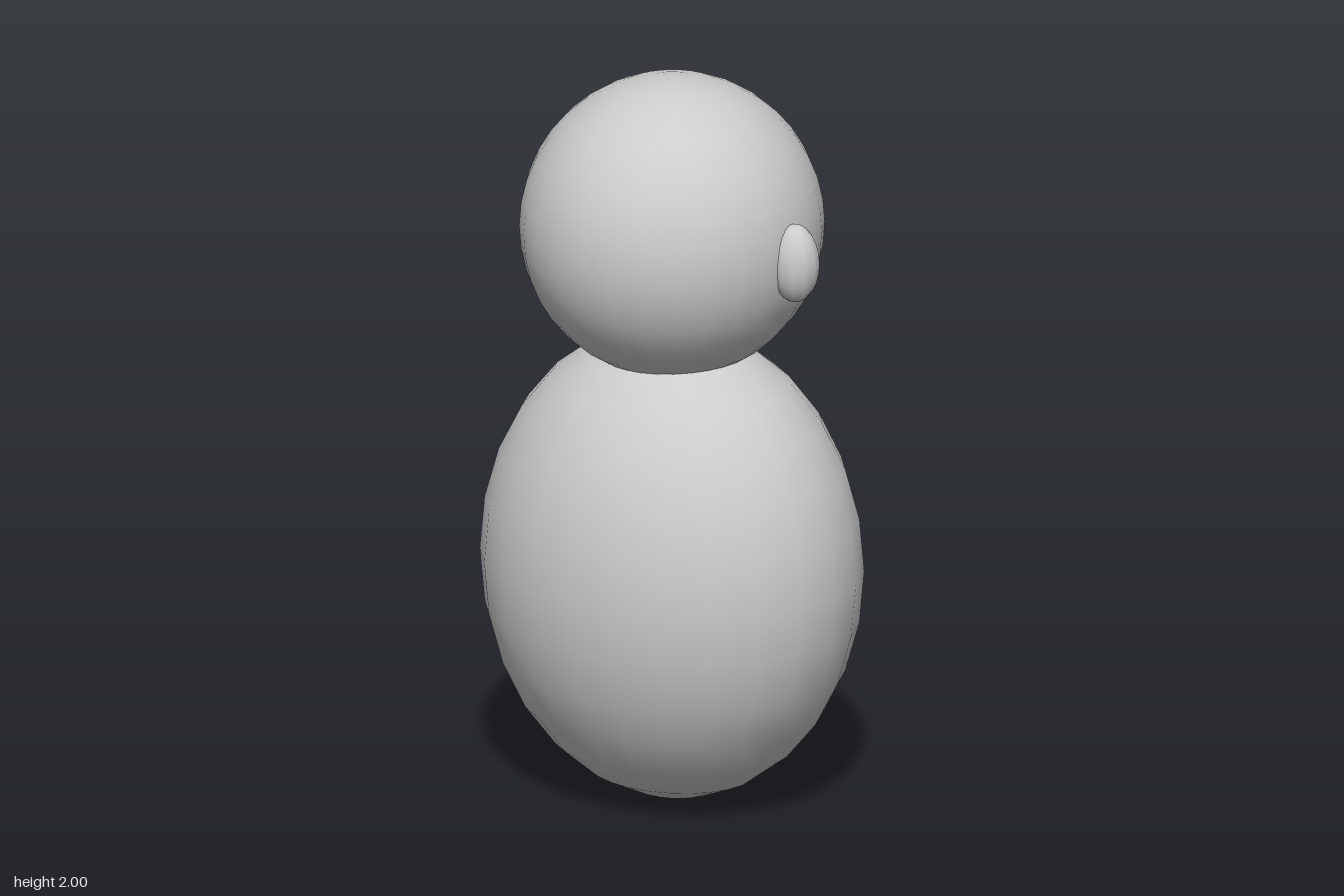
import * as THREE from 'three';

const material = new THREE.MeshStandardMaterial({ color: 0xcccccc });

// Sphere stretched to the given radii
function ellipsoid(name, [rx, ry, rz], [x, y, z], columns, rows) {
  const geometry = new THREE.SphereGeometry(1, columns, rows).scale(rx, ry, rz);
  geometry.computeBoundingSphere();
  const mesh = new THREE.Mesh(geometry, material);
  mesh.name = name;
  mesh.position.set(x, y, z);
  return mesh;
}

export function createModel() {
  const model = new THREE.Group();
  model.name = 'roundFigure';

  // Egg-shaped body, wider than deep
  model.add(ellipsoid('body', [0.54, 0.65, 0.455], [0, 0.65, 0], 24, 14));

  // Round head sunk into the top of the body
  model.add(ellipsoid('head', [0.404, 0.41, 0.41], [0, 1.59, 0], 28, 20));

  // Small oval ears half buried in the sides of the head
  for (const [name, side] of [['leftEar', 1], ['rightEar', -1]]) {
    model.add(ellipsoid(name, [0.067, 0.108, 0.064], [side * 0.408, 1.562, 0], 12, 12));
  }
  return model;
}
